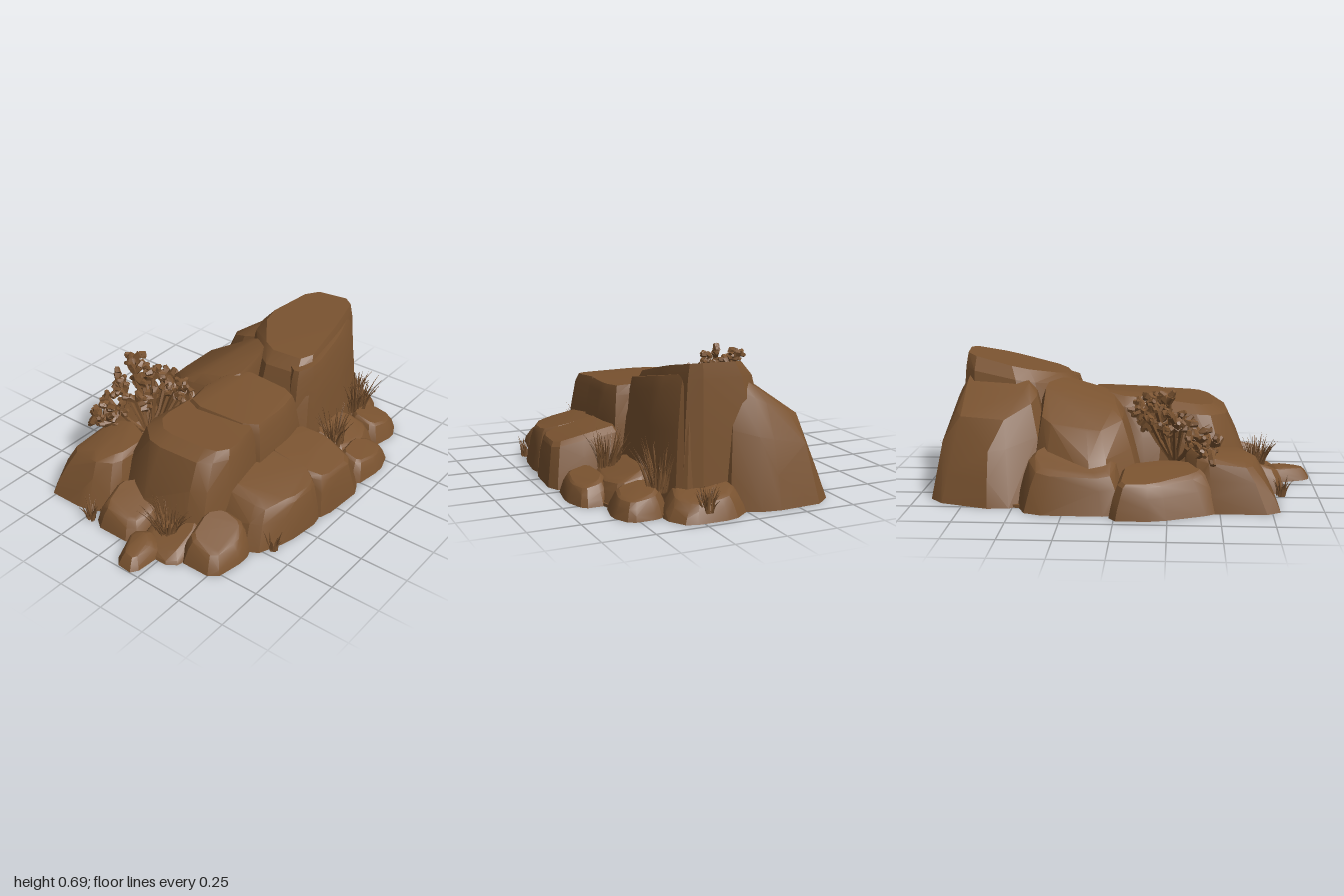
import * as THREE from 'three';
import { mergeGeometries, toCreasedNormals } from 'three/addons/utils/BufferGeometryUtils.js';
import { ConvexGeometry } from 'three/addons/geometries/ConvexGeometry.js';

const brown = new THREE.MeshStandardMaterial({ color: 0x7a5330 });
brown.name = 'earthBrown';

let seed = 7;
const rand = (a = 0, b = 1) => {
  seed = (seed * 16807) % 2147483647;
  return a + (b - a) * (seed / 2147483647);
};
const V = (x, y, z) => new THREE.Vector3(x, y, z);

// Cuts the corners of a closed outline
function chamfer(points, cut = 0.17) {
  return points.flatMap((p, i) => {
    const q = points[(i + 1) % points.length];
    return [p.clone().lerp(q, cut), p.clone().lerp(q, 1 - cut)];
  });
}

// Chiselled boulder: base outline [x, z], top outline [x, y, z], with a bevelled shoulder between
function rock(name, base, top) {
  const low = chamfer(base.map(([x, z]) => V(x, 0, z)));
  const high = chamfer(top.map(([x, y, z]) => V(x, y, z)));
  const points = [];
  for (const [rise, inset] of [[0, 0], [0.3, 0.18], [0.6, 0.4], [0.9, 0.71], [1, 1]]) {
    low.forEach((p, i) => {
      const j = rise > 0 && rise < 1 ? rand(-0.06, 0.06) : 0;
      const q = p.clone().lerp(high[i], inset + j);
      q.y = high[i].y * rise;
      points.push(q);
    });
  }
  const mesh = new THREE.Mesh(toCreasedNormals(new ConvexGeometry(points), 0.36), brown);
  mesh.name = name;
  return mesh;
}

// Small stone with six-sided plan from bounds and a tilted top
function stone(name, x0, x1, z0, z1, hBack, hFront, skew = 0) {
  const w = x1 - x0, d = z1 - z0, e = 0.015;
  const base = [[x0 - e, z0 + d * 0.3], [x0 + w * 0.25, z0 - e], [x1 - w * 0.15, z0 - e], [x1 + e, z0 + d * 0.4],
    [x1 - w * 0.08, z1 + e], [x0 + w * 0.1, z1 + e]];
  const top = base.map(([x, z]) => {
    const t = (z - z0) / d, s = (x - x0) / w - 0.5;
    return [x0 + w * (0.5 + s * 0.6), hBack + (hFront - hBack) * t - s * skew, z0 + d * (0.5 + (t - 0.5) * 0.6)];
  });
  return rock(name, base, top);
}

// Curved tapering grass blade
function blade(length, lean, turn) {
  const g = new THREE.ConeGeometry(0.008, length, 3, 4, true);
  g.translate(0, length / 2, 0);
  const p = g.attributes.position;
  for (let i = 0; i < p.count; i++) {
    const t = p.getY(i) / length;
    p.setX(i, p.getX(i) + length * lean * t * (0.5 + 0.5 * t));
    p.setY(i, p.getY(i) * (1 - 0.3 * lean * t));
  }
  g.rotateY(turn);
  g.computeVertexNormals();
  return g;
}

function grass(x, y, z, height, spread, count) {
  const blades = [];
  for (let i = 0; i < count; i++) {
    const turn = i * 2.4, r = spread * 0.35 * Math.sqrt(rand());
    const g = blade(height * rand(0.6, 1.1), rand(0.1, 0.95) * spread / height, turn);
    g.translate(Math.cos(turn) * r, 0, -Math.sin(turn) * r);
    blades.push(g);
  }
  const mesh = new THREE.Mesh(mergeGeometries(blades), brown);
  mesh.position.set(x, y, z);
  mesh.name = 'grassTuft';
  return mesh;
}

// Tapered twig between two points
function twig(a, b, r0, r1, sides = 5) {
  const dir = b.clone().sub(a);
  const g = new THREE.CylinderGeometry(r1, r0, dir.length(), sides);
  g.applyQuaternion(new THREE.Quaternion().setFromUnitVectors(V(0, 1, 0), dir.normalize()));
  g.translate(...a.clone().add(b).multiplyScalar(0.5).toArray());
  return g;
}

// Knobbly branching bush
function bush() {
  const root = V(-0.31, 0.18, 0.28), parts = [];
  const tips = [[-0.48, 0.53, 0.18], [-0.41, 0.5, 0.25], [-0.33, 0.51, 0.2], [-0.3, 0.46, 0.13], [-0.21, 0.43, 0.11],
    [-0.18, 0.42, 0.1], [-0.24, 0.45, 0.16], [-0.44, 0.43, 0.32], [-0.51, 0.43, 0.28], [-0.52, 0.3, 0.45],
    [-0.46, 0.31, 0.46], [-0.42, 0.36, 0.4], [-0.35, 0.39, 0.32], [-0.4, 0.43, 0.2], [-0.5, 0.36, 0.37],
    [-0.3, 0.41, 0.23], [-0.43, 0.47, 0.14]];
  for (const t of tips) {
    const tip = V(...t), mid = root.clone().lerp(tip, 0.5).add(V(0.01, -0.02, 0));
    parts.push(twig(root, mid, 0.012, 0.009), twig(mid, tip, 0.009, 0.014));
    const out = tip.clone().sub(root).normalize();
    for (let i = 0; i < 5; i++) {
      const dir = V(rand(-1, 1), rand(-1, 1), rand(-1, 1)).normalize().addScaledVector(out, 0.5).normalize();
      const a = tip.clone().addScaledVector(out, -0.03 * (i % 3));
      const b = a.clone().addScaledVector(dir, rand(0.03, 0.045));
      parts.push(twig(a, b, 0.013, 0.024));
      for (let k = 0; k < 2; k++) {
        const fork = dir.clone().add(V(rand(-1, 1), rand(-1, 1), rand(-1, 1))).normalize();
        parts.push(twig(b, b.clone().addScaledVector(fork, 0.033), 0.02, 0.011));
      }
    }
  }
  const mesh = new THREE.Mesh(toCreasedNormals(mergeGeometries(parts), 0.9), brown);
  mesh.name = 'bush';
  return mesh;
}

export function createModel() {
  const model = new THREE.Group();
  model.name = 'rockOutcrop';

  // Large boulders
  model.add(
    rock('peakBoulder',
      [[-0.2, -0.82], [0.27, -0.83], [0.33, -0.62], [0.36, -0.12], [0.02, -0.08], [-0.28, -0.4]],
      [[-0.02, 0.68, -0.79], [0.23, 0.69, -0.81], [0.27, 0.65, -0.6], [0.29, 0.57, -0.3], [0.04, 0.57, -0.28], [-0.12, 0.62, -0.5]]),
    rock('peakRightSlab',
      [[0.1, -0.82], [0.3, -0.81], [0.36, -0.6], [0.38, -0.32], [0.28, -0.14], [0.1, -0.3]],
      [[0.14, 0.64, -0.76], [0.24, 0.64, -0.77], [0.3, 0.6, -0.58], [0.33, 0.55, -0.32], [0.27, 0.53, -0.22], [0.15, 0.54, -0.3]]),
    rock('backLeftBoulder',
      [[-0.42, -0.92], [-0.1, -0.94], [0.1, -0.84], [0.1, -0.35], [-0.36, -0.3], [-0.55, -0.56]],
      [[-0.24, 0.46, -0.77], [-0.1, 0.55, -0.78], [0.02, 0.63, -0.75], [0.02, 0.62, -0.48], [-0.2, 0.54, -0.45], [-0.3, 0.43, -0.6]]),
    rock('middleLeftBoulder',
      [[-0.52, -0.42], [-0.1, -0.45], [0.05, -0.35], [0.05, 0.12], [-0.35, 0.16], [-0.64, -0.05]],
      [[-0.26, 0.44, -0.34], [-0.1, 0.54, -0.38], [0.03, 0.56, -0.29], [0.02, 0.49, -0.04], [-0.22, 0.45, -0.01], [-0.34, 0.39, -0.12]]),
    rock('middleBoulder',
      [[-0.2, -0.18], [0.36, -0.21], [0.4, 0.0], [0.39, 0.28], [-0.2, 0.32], [-0.25, 0.1]],
      [[0.0, 0.5, -0.13], [0.32, 0.47, -0.14], [0.345, 0.46, 0.0], [0.335, 0.455, 0.22], [-0.04, 0.475, 0.26], [-0.08, 0.47, 0.05]]),
    rock('frontBoulder',
      [[-0.2, 0.1], [0.36, 0.14], [0.4, 0.46], [0.32, 0.67], [-0.08, 0.7], [-0.31, 0.52]],
      [[-0.06, 0.465, 0.16], [0.32, 0.455, 0.19], [0.345, 0.44, 0.4], [0.28, 0.43, 0.47], [-0.02, 0.43, 0.48], [-0.1, 0.44, 0.4]]),
    rock('leftSideRock',
      [[-0.625, -0.42], [-0.42, -0.5], [-0.3, -0.3], [-0.3, 0.03], [-0.45, 0.06], [-0.63, 0.02]],
      [[-0.55, 0.2, -0.34], [-0.44, 0.26, -0.4], [-0.36, 0.3, -0.3], [-0.36, 0.29, -0.05], [-0.45, 0.24, -0.02], [-0.56, 0.19, -0.05]]),
    rock('leftRock',
      [[-0.7, -0.03], [-0.4, 0.0], [-0.28, 0.25], [-0.42, 0.58], [-0.57, 0.48], [-0.7, 0.2]],
      [[-0.66, 0.165, 0.03], [-0.45, 0.21, 0.05], [-0.38, 0.22, 0.25], [-0.43, 0.21, 0.43], [-0.52, 0.19, 0.38], [-0.64, 0.165, 0.18]]),
    rock('frontLeftRock',
      [[-0.56, 0.4], [-0.35, 0.28], [-0.16, 0.36], [-0.16, 0.72], [-0.3, 0.79], [-0.56, 0.79]],
      [[-0.45, 0.26, 0.4], [-0.36, 0.28, 0.35], [-0.22, 0.26, 0.4], [-0.23, 0.255, 0.59], [-0.34, 0.25, 0.63], [-0.46, 0.23, 0.61]]),
    rock('rightFrontRock',
      [[0.3, 0.06], [0.6, 0.04], [0.685, 0.14], [0.66, 0.36], [0.58, 0.55], [0.3, 0.54]],
      [[0.34, 0.275, 0.1], [0.55, 0.245, 0.08], [0.64, 0.22, 0.14], [0.62, 0.21, 0.3], [0.53, 0.215, 0.4], [0.34, 0.25, 0.4]]),
    rock('rightBackRock',
      [[0.3, -0.24], [0.52, -0.26], [0.71, -0.21], [0.69, 0.1], [0.6, 0.16], [0.3, 0.16]],
      [[0.34, 0.28, -0.15], [0.5, 0.26, -0.18], [0.66, 0.215, -0.14], [0.655, 0.215, 0.06], [0.56, 0.24, 0.1], [0.34, 0.28, 0.1]]));

  // Small stones around the foot
  const stones = [
    ['frontCentreStone', -0.21, 0.1, 0.54, 0.83, 0.15, 0.11, 0.04],
    ['frontMiddleStone', 0.06, 0.36, 0.55, 0.84, 0.11, 0.05, 0],
    ['frontRightStone', 0.29, 0.56, 0.47, 0.78, 0.15, 0.11, 0.05],
    ['rightStone', 0.5, 0.69, -0.53, -0.23, 0.1, 0.12, 0.03],
    ['rightInnerStone', 0.28, 0.57, -0.63, -0.24, 0.14, 0.15, 0.06],
    ['backRightStone', 0.34, 0.58, -0.81, -0.58, 0.1, 0.12, 0.03],
    ['backStone', 0.0, 0.38, -0.95, -0.7, 0.1, 0.14, 0.03],
  ];
  for (const s of stones) model.add(stone(...s));
  model.add(rock('frontTipStone',
    [[0.02, 0.78], [0.13, 0.7], [0.24, 0.78], [0.22, 1.0], [0.1, 0.99]],
    [[0.08, 0.07, 0.84], [0.13, 0.08, 0.8], [0.18, 0.07, 0.85], [0.18, 0.06, 0.94], [0.13, 0.065, 0.93]]));

  // Thin floor joining the stones
  const outline = [[-0.38, -0.8], [-0.1, -0.87], [0.3, -0.87], [0.52, -0.7], [0.62, -0.35], [0.64, 0.1], [0.52, 0.6],
    [0.15, 0.8], [-0.45, 0.72], [-0.6, 0.25], [-0.56, -0.2], [-0.48, -0.6]].map(([x, z]) => new THREE.Vector2(x, -z));
  const floor = new THREE.Mesh(new THREE.ExtrudeGeometry(new THREE.Shape(outline), { depth: 0.015, bevelEnabled: false }), brown);
  floor.rotation.x = -Math.PI / 2;
  floor.name = 'floor';
  model.add(floor);

  // Plants
  model.add(bush(),
    grass(0.19, 0.03, 0.71, 0.2, 0.13, 60),
    grass(-0.22, 0.0, 0.82, 0.11, 0.06, 18),
    grass(0.63, 0.0, 0.45, 0.11, 0.06, 18),
    grass(0.36, 0.09, -0.7, 0.24, 0.13, 60),
    grass(0.46, 0.1, -0.33, 0.22, 0.12, 50),
    grass(0.22, 0.04, -0.93, 0.13, 0.08, 34));
  return model;
}
